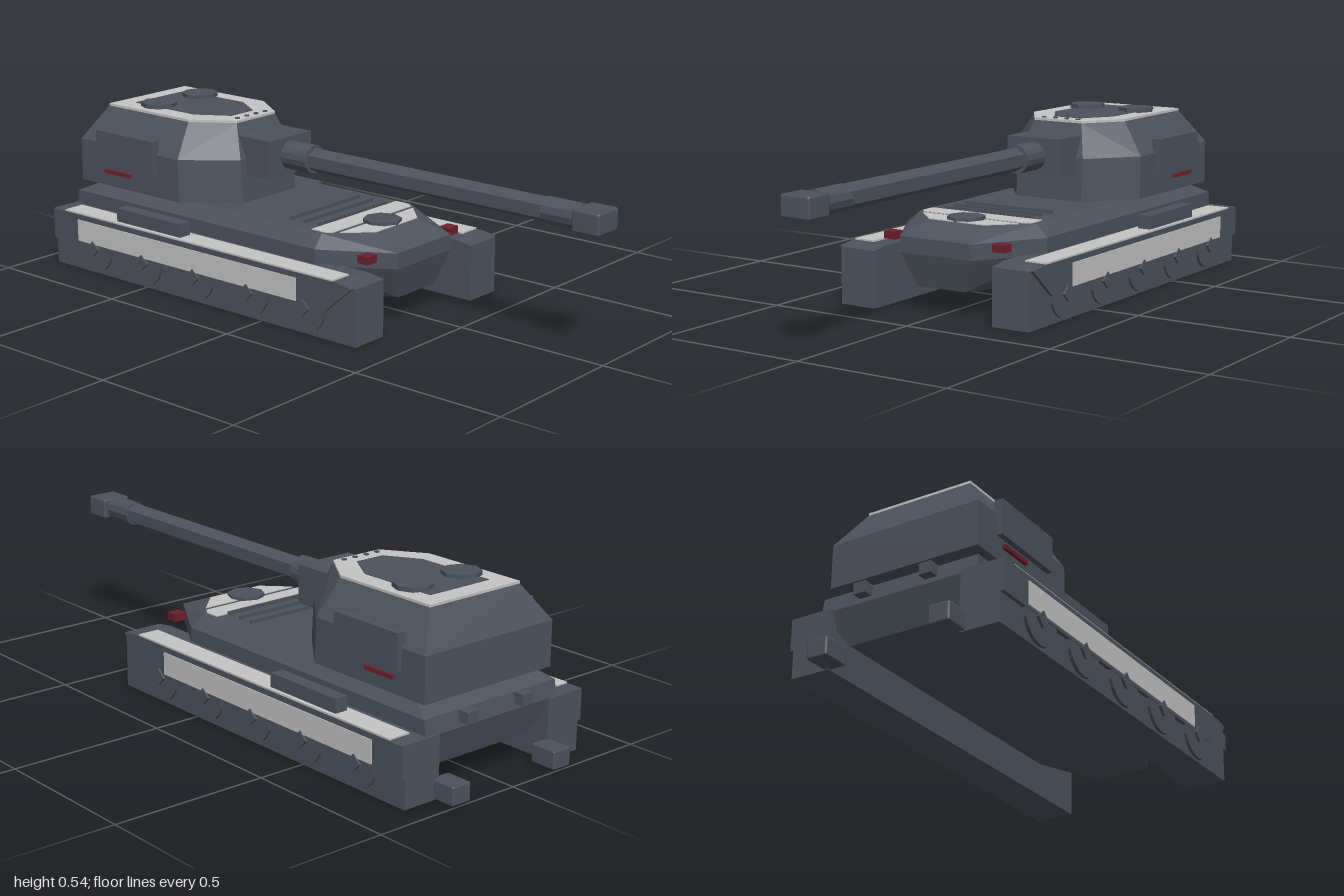
import * as THREE from 'three';
import { ConvexGeometry } from 'three/addons/geometries/ConvexGeometry.js';
import { RoundedBoxGeometry } from 'three/addons/geometries/RoundedBoxGeometry.js';

export function createModel() {
  const model = new THREE.Group();
  const paint = (name, color) => {
    const m = new THREE.MeshStandardMaterial({ color });
    m.name = name;
    return m;
  };
  const dark = paint('slateArmour', 0x4d525d);
  const light = paint('paleGrey', 0xc4c4c4);
  const red = paint('darkRed', 0x6c1f2d);

  const add = (name, geometry, material) => {
    const mesh = new THREE.Mesh(geometry, material);
    mesh.name = name;
    model.add(mesh);
    return mesh;
  };
  // Box given by its min and max along each axis, with an optional bevel
  const box = (name, mat, x0, x1, y0, y1, z0, z1, bevel = 0) => {
    const size = [x1 - x0, y1 - y0, Math.abs(z1 - z0)];
    const g = bevel ? new RoundedBoxGeometry(...size, 1, bevel) : new THREE.BoxGeometry(...size);
    g.translate((x0 + x1) / 2, (y0 + y1) / 2, (z0 + z1) / 2);
    return add(name, g, mat);
  };
  // Faceted cylinder along x, y or z, centred at (x, y, z); along x a corner points up
  const cyl = (name, mat, axis, r, length, x, y, z, sides) => {
    let g = new THREE.CylinderGeometry(r, r, length, sides);
    if (axis === 'x') g.rotateY(Math.PI / 2).rotateZ(Math.PI / 2);
    if (axis === 'z') g.rotateX(Math.PI / 2);
    g.translate(x, y, z);
    g = g.toNonIndexed();
    g.computeVertexNormals();
    return add(name, g, mat);
  };
  // Armour body from levels: [y, rear x, shoulder x, front x, half width, front half width]
  const armour = (name, levels) => {
    const pts = [];
    for (const [y, rear, shoulder, front, half, nose] of levels)
      for (const s of [1, -1])
        pts.push(new THREE.Vector3(rear, y, s * half), new THREE.Vector3(shoulder, y, s * half),
          new THREE.Vector3(front, y, s * nose));
    return add(name, new ConvexGeometry(pts), dark);
  };
  // Flat plate mirrored about z = 0, from [x, half width] points
  const plate = (name, mat, outline, y, thick) => {
    const pts = [...outline, ...outline.slice().reverse().map(([x, z]) => [x, -z])];
    const shape = new THREE.Shape(pts.map(([x, z]) => new THREE.Vector2(x, z)));
    const g = new THREE.ExtrudeGeometry(shape, { depth: thick, bevelEnabled: false });
    g.rotateX(-Math.PI / 2).translate(0, y, 0);
    return add(name, g, mat);
  };
  // Side profile in x, y extruded between two z values
  const profile = (name, mat, outline, z0, z1) => {
    const shape = new THREE.Shape(outline.map(([x, y]) => new THREE.Vector2(x, y)));
    const g = new THREE.ExtrudeGeometry(shape, { depth: Math.abs(z1 - z0), bevelEnabled: false });
    g.translate(0, 0, Math.min(z0, z1));
    return add(name, g, mat);
  };

  // Hull
  armour('hull', [
    [0.08, -0.88, 0.12, 0.325, 0.18, 0.09],
    [0.185, -0.915, 0.14, 0.355, 0.26, 0.13],
    [0.235, -0.905, 0.14, 0.355, 0.26, 0.13],
    [0.273, -0.82, 0.13, 0.25, 0.217, 0.1],
  ]);
  plate('deckStripe', light, [[0.08, 0.205], [0.13, 0.205], [0.152, 0.19]], 0.271, 0.005);
  plate('noseDeckPanel', light, [[0.17, 0.178], [0.248, 0.1]], 0.271, 0.005);
  cyl('driverHatch', dark, 'y', 0.06, 0.013, 0.19, 0.279, 0, 8);
  for (const x of [-0.04, 0.016, 0.072])
    box('deckRib', dark, x - 0.004, x + 0.004, 0.27, 0.284, -0.165, 0.165);

  // Turret
  armour('turret', [
    [0.272, -0.895, -0.44, -0.28, 0.25, 0.125],
    [0.412, -0.895, -0.445, -0.288, 0.25, 0.125],
    [0.52, -0.832, -0.465, -0.335, 0.177, 0.09],
  ]);
  plate('roofBorder', light, [[-0.832, 0.177], [-0.465, 0.177], [-0.335, 0.09]], 0.519, 0.009);
  plate('roofPanel', dark, [[-0.77, 0.115], [-0.5, 0.115], [-0.395, 0.05]], 0.522, 0.008);
  for (const z of [-0.065, -0.022, 0.022, 0.065])
    cyl('roofStud', dark, 'y', 0.008, 0.006, -0.355, 0.529, z, 8);

  // Gun
  box('mantlet', dark, -0.32, -0.188, 0.362, 0.484, -0.099, 0.099);
  cyl('barrelCollar', dark, 'x', 0.046, 0.11, -0.14, 0.425, 0, 16);
  cyl('barrel', dark, 'x', 0.038, 0.9, 0.36, 0.425, 0, 6);
  cyl('muzzleCollar', dark, 'x', 0.04, 0.12, 0.855, 0.425, 0, 12);
  box('muzzleBrake', dark, 0.908, 1, 0.391, 0.459, -0.052, 0.052, 0.008);

  // Parts on both sides
  for (const s of [1, -1]) {
    cyl('roofHatch', dark, 'y', 0.06, 0.016, -0.68, 0.534, s * 0.095, 8);
    box('turretSidePanel', dark, -0.803, -0.54, 0.345, 0.458, s * 0.24, s * 0.268);
    box('turretSideMarker', red, -0.775, -0.66, 0.316, 0.328, s * 0.24, s * 0.261);
    box('noseLamp', red, 0.275, 0.315, 0.211, 0.235, s * 0.179, s * 0.222);
    box('rearLamp', dark, -0.943, -0.88, 0.2, 0.235, s * 0.09, s * 0.13);

    // Track unit with skirt and light panels
    profile('track', dark, [[-0.925, 0], [0.371, 0], [0.371, 0.18], [0.31, 0.189], [-0.925, 0.189]],
      s * 0.217, s * 0.345);
    profile('trackSkirt', dark, [[-0.925, 0.09], [0.26, 0.09], [0.365, 0.181], [0.31, 0.189], [-0.925, 0.189]],
      s * 0.34, s * 0.357);
    box('skirtPanel', light, -0.805, 0.15, 0.1, 0.172, s * 0.355, s * 0.36);
    box('fenderPanel', light, -0.87, 0.29, 0.187, 0.194, s * 0.28, s * 0.354);
    box('stowageBox', dark, -0.635, -0.35, 0.19, 0.238, s * 0.297, s * 0.341);
    box('rearFootBlock', dark, -1, -0.91, 0.003, 0.062, s * 0.167, s * 0.236, 0.006);
    for (let i = 0; i < 5; i++) {
      const x = -0.735 + i * 0.228;
      cyl('roadWheel', dark, 'z', 0.08, 0.03, x, 0.087, s * 0.34, 20);
      cyl('wheelHub', dark, 'z', 0.026, 0.04, x, 0.085, s * 0.343, 4);
    }
  }
  return model;
}
